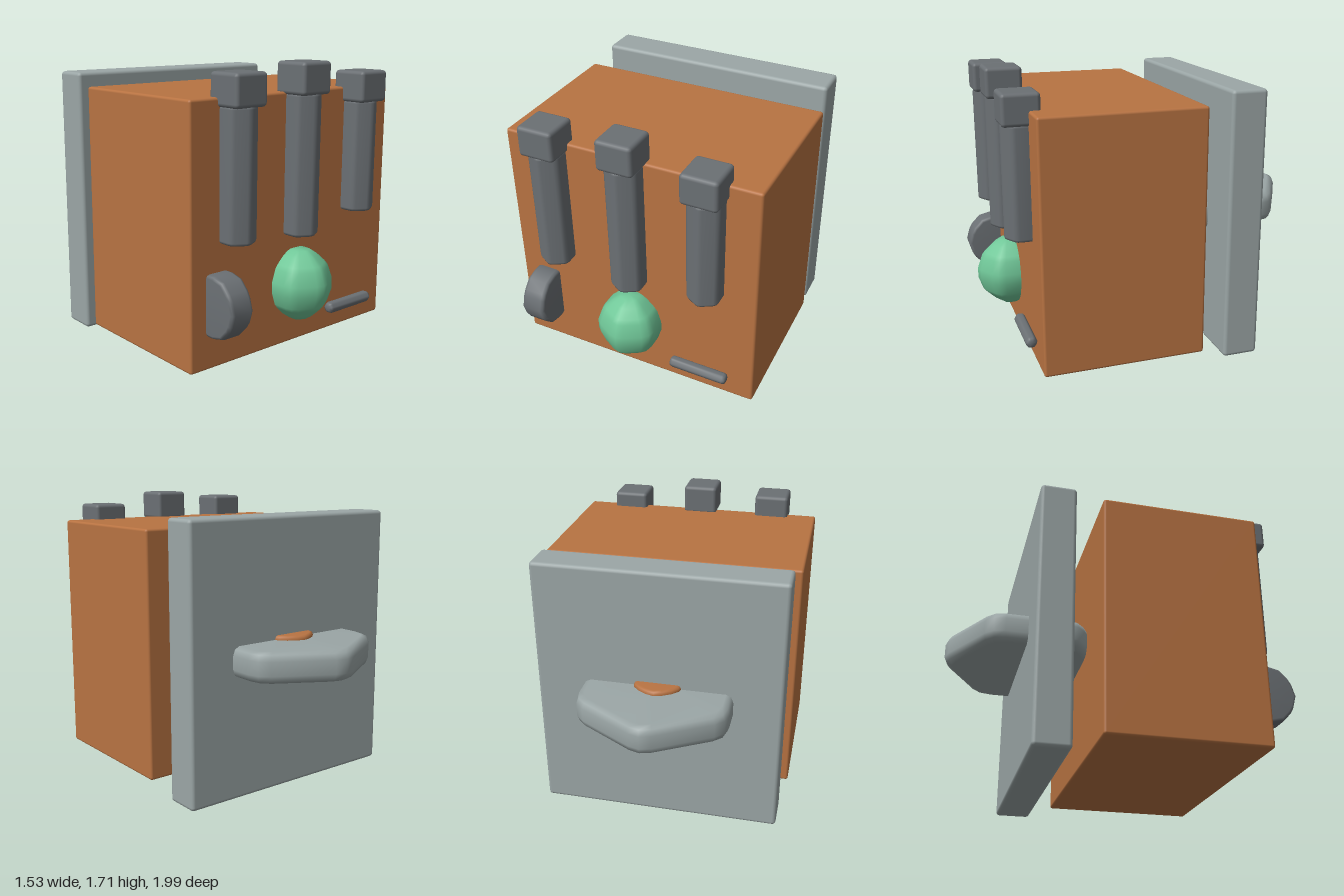
import * as THREE from 'three';
import { RoundedBoxGeometry } from 'three/addons/geometries/RoundedBoxGeometry.js';

// Hexagon in the xz plane with corners on the z axis, each corner rounded by w
function hexOutline(r, w) {
  const corner = i => new THREE.Vector2(Math.sin(i * Math.PI / 3) * r, Math.cos(i * Math.PI / 3) * r);
  const pts = [];
  for (let i = 0; i < 6; i++) {
    const v = corner(i);
    const a = v.clone().lerp(corner(i + 5), w / r);
    const b = v.clone().lerp(corner(i + 1), w / r);
    const mid = a.clone().add(b).multiplyScalar(0.25).addScaledVector(v, 0.5);
    pts.push(a, mid, b);
  }
  return pts;
}

// Loft of the hexagon through [radius, y] levels, bottom to top, closed at both ends
function hexLoft(r, w, levels) {
  const ring = hexOutline(r, w), n = ring.length, pos = [], idx = [];
  for (const [rad, y] of levels) for (const p of ring) pos.push(p.x * rad / r, y, p.y * rad / r);
  const last = (levels.length - 1) * n, bottom = levels.length * n, top = bottom + 1;
  pos.push(0, levels[0][1], 0, 0, levels[levels.length - 1][1], 0);
  for (let i = 0; i < n; i++) {
    const j = (i + 1) % n;
    for (let k = 0; k < last; k += n) idx.push(k + i, k + j, k + n + j, k + i, k + n + j, k + n + i);
    idx.push(bottom, j, i, top, last + i, last + j);
  }
  const g = new THREE.BufferGeometry();
  g.setAttribute('position', new THREE.Float32BufferAttribute(pos, 3));
  g.setIndex(idx);
  g.computeVertexNormals();
  return g;
}

// Hexagonal prism of length len with end edges rounded by b
function hexPrism(r, len, w, b) {
  const h = len / 2;
  const half = [[r, h - b], [r - 0.3 * b, h - 0.3 * b], [r - b, h]];
  const lower = half.map(([rad, y]) => [rad, -y]).reverse();
  return hexLoft(r, w, [...lower, ...half]);
}

export function createModel() {
  const group = new THREE.Group();
  const mat = (name, color) => {
    const m = new THREE.MeshStandardMaterial({ color });
    m.name = name;
    return m;
  };
  const orange = mat('burnt orange', 0xb87342);
  const lightGrey = mat('light grey', 0x9ba6a6);
  const darkGrey = mat('dark grey', 0x6b7074);
  const green = mat('green', 0x70c798);

  const add = (name, geometry, material, x, y, z) => {
    const mesh = new THREE.Mesh(geometry, material);
    mesh.name = name;
    mesh.position.set(x, y, z);
    group.add(mesh);
    return mesh;
  };

  // Main box and the plate behind it
  add('body', new RoundedBoxGeometry(1.53, 1.46, 0.95, 2, 0.015), orange, 0, 0.81, 0.29);
  add('backPlate', new RoundedBoxGeometry(1.46, 1.61, 0.215, 2, 0.022), lightGrey, 0, 0.805, -0.443);

  // Hexagonal disc passing through the plate, with a small hub on top
  add('disc', hexPrism(0.513, 0.18, 0.075, 0.05), lightGrey, 0, 0.81, -0.5);
  add('hub', hexPrism(0.167, 0.14, 0.055, 0.022), orange, 0, 0.855, -0.5);

  // Three upright rods with square caps: x, bottom, top of rod
  for (const [x, y0, y1] of [[-0.475, 0.77, 1.5], [0, 0.735, 1.535], [0.475, 0.81, 1.465]]) {
    add('rod', hexPrism(0.11, y1 - y0, 0.022, 0.018), darkGrey, x, (y0 + y1) / 2, 0.8);
    add('rodCap', new RoundedBoxGeometry(0.215, 0.18, 0.215, 2, 0.022), darkGrey, x, y1 + 0.08, 0.803);
  }

  // Side wheel and thin bar lying along x
  add('wheel', hexPrism(0.201, 0.15, 0.08, 0.022), darkGrey, -0.585, 0.445, 0.795).rotation.z = Math.PI / 2;
  add('bar', hexPrism(0.037, 0.36, 0.01, 0.02), darkGrey, 0.435, 0.225, 0.8).rotation.z = Math.PI / 2;

  // Six-sided round knob
  const knobHalf = [[0.206, 0.03], [0.178, 0.105], [0.157, 0.13], [0.106, 0.175], [0.06, 0.203]];
  const knobLower = knobHalf.map(([r, y]) => [r, -y]).reverse();
  add('knob', hexLoft(0.206, 0.05, [...knobLower, ...knobHalf]), green, 0, 0.442, 0.803);

  return group;
}
